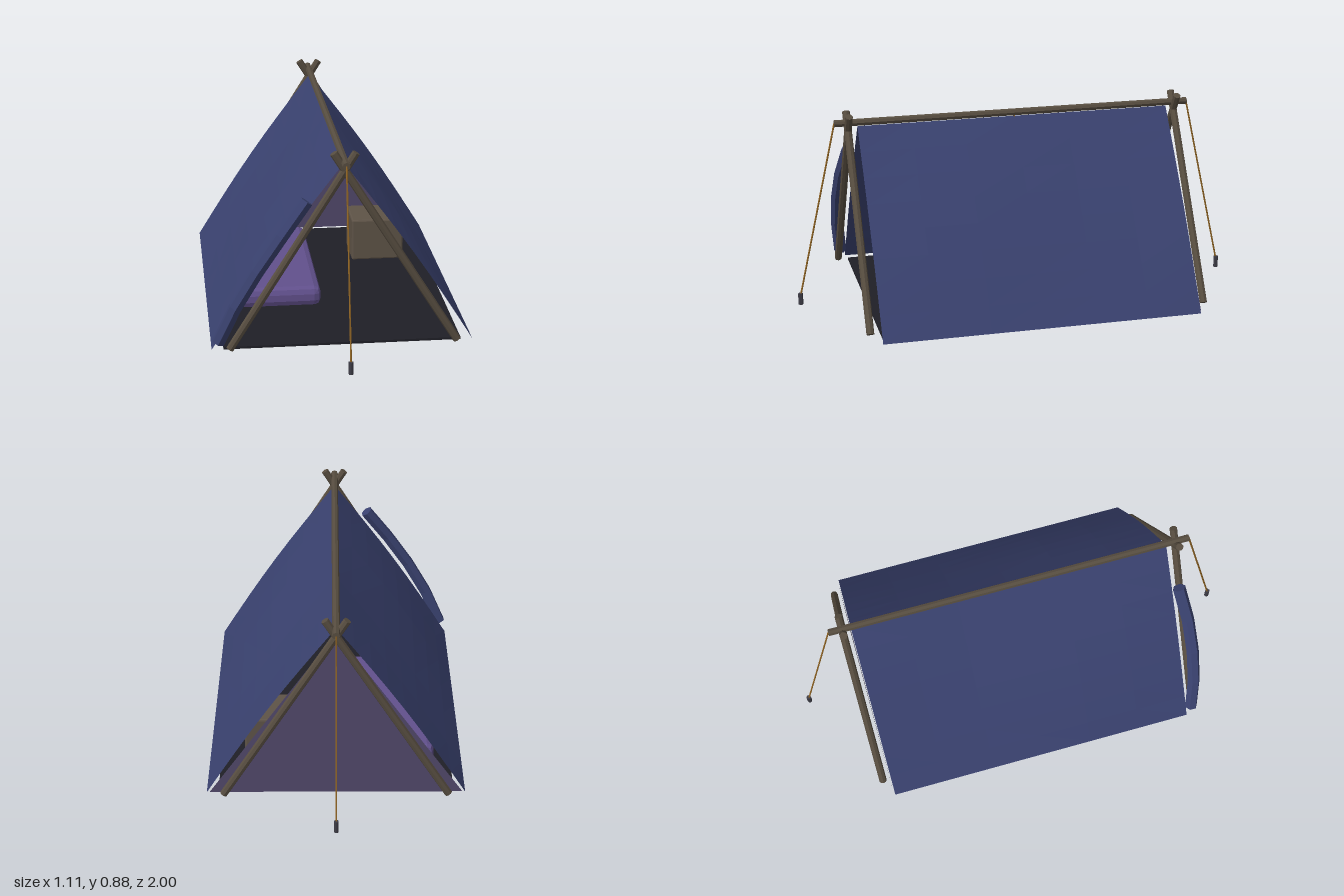
import * as THREE from 'three';
import { RoundedBoxGeometry } from 'three/addons/geometries/RoundedBoxGeometry.js';

function mat(name, color, side = THREE.FrontSide) {
  const m = new THREE.MeshStandardMaterial({ color, side, flatShading: true });
  m.name = name;
  return m;
}

const V = (x, y, z) => new THREE.Vector3(x, y, z);

export function createModel() {
  const group = new THREE.Group();
  const canvas = mat('blueCanvas', 0x3a4270, THREE.DoubleSide);
  const lining = mat('mauveCanvas', 0x51486a, THREE.DoubleSide);
  const wood = mat('wood', 0x574d40);
  const floorCloth = mat('groundCloth', 0x1f1f26);
  const bedding = mat('purpleBedding', 0x61508c);
  const crateWood = mat('crateBrown', 0x5e5347);
  const amber = mat('amberGlow', 0xc4821e);
  const rope = mat('rope', 0x8f6424);
  const metal = mat('pegMetal', 0x3d3c46);

  const add = (name, geometry, material, parent = group) => {
    const mesh = new THREE.Mesh(geometry, material);
    mesh.name = name;
    parent.add(mesh);
    return mesh;
  };

  // Straight round bar between two points
  const bar = (name, a, b, radius, sides, material) => {
    const mesh = add(name, new THREE.CylinderGeometry(radius, radius, a.distanceTo(b), sides), material);
    mesh.position.copy(a).add(b).multiplyScalar(0.5);
    mesh.quaternion.setFromUnitVectors(V(0, 1, 0), b.clone().sub(a).normalize());
    return mesh;
  };

  // Ridge pole, crossed end poles, guy ropes and pegs
  bar('ridgePole', V(0, 0.83, -0.81), V(0, 0.83, 0.81), 0.016, 8, wood);
  for (const end of [1, -1]) {
    const label = end > 0 ? 'front' : 'back';
    for (const side of [1, -1]) {
      bar(label + (side > 0 ? 'Left' : 'Right') + 'Pole',
        V(side * 0.48, 0.027, end * 0.75), V(-side * 0.046, 0.869, end * 0.75), 0.017, 8, wood);
    }
    bar(label + 'GuyRope', V(0, 0.83, end * 0.81), V(0, 0.045, end * 0.987), 0.004, 6, rope);
    bar(label + 'Peg', V(0, 0, end * 0.988), V(0, 0.053, end * 0.988), 0.011, 6, metal);
  }

  // Roof sheets, billowing slightly outward between ridge and hem
  for (const side of [1, -1]) {
    const sheet = new THREE.PlaneGeometry(1, 1, 6, 8);
    const p = sheet.attributes.position;
    for (let i = 0; i < p.count; i++) {
      const u = 0.5 - p.getY(i);
      const v = p.getX(i) + 0.5;
      const bow = Math.sin(Math.PI * u) * (0.016 + 0.008 * Math.sin(2 * Math.PI * v));
      p.setXYZ(i, side * (0.555 * u + 0.82 * bow), 0.812 - 0.804 * u + 0.57 * bow, 0.708 - 1.42 * v);
    }
    if (side < 0) sheet.index.array.reverse();
    sheet.computeVertexNormals();
    add(side > 0 ? 'leftRoof' : 'rightRoof', sheet, canvas);
  }

  // Back wall
  const triangle = new THREE.Shape([
    new THREE.Vector2(-0.542, 0.014), new THREE.Vector2(0.542, 0.014), new THREE.Vector2(0, 0.79),
  ]);
  add('backWall', new THREE.ShapeGeometry(triangle), lining).position.z = -0.717;

  // Ground cloth
  add('groundCloth', new THREE.BoxGeometry(1.01, 0.01, 1.4), floorCloth).position.y = 0.009;

  // Front door flap, rolled and tied back along the right edge
  const flap = new THREE.Group();
  flap.name = 'rolledFlap';
  group.add(flap);
  const path = new THREE.CurvePath();
  const stops = [V(-0.528, 0.052, 0.733), V(-0.43, 0.262, 0.757), V(-0.278, 0.495, 0.757), V(-0.155, 0.662, 0.733)];
  const curve = new THREE.CatmullRomCurve3(stops);
  add('flapRoll', new THREE.TubeGeometry(curve, 4, 0.029, 6), canvas, flap);
  for (const t of [0, 1]) {
    const cap = add('flapRollEnd', new THREE.CircleGeometry(0.029, 6), canvas, flap);
    cap.position.copy(curve.getPointAt(t));
    cap.quaternion.setFromUnitVectors(V(0, 0, 1), curve.getTangentAt(t).multiplyScalar(t ? 1 : -1));
  }

  // Bedroll with chamfered edges: a box hull from stacked cross-sections
  add('bedroll', new RoundedBoxGeometry(0.38, 0.09, 0.82, 1, 0.03), bedding).position.set(-0.24, 0.06, -0.1);

  // Storage crate
  add('crate', new RoundedBoxGeometry(0.245, 0.2, 0.22, 1, 0.008), crateWood).position.set(0.277, 0.115, -0.35);

  // Hanging lantern
  add('lantern', new THREE.BoxGeometry(0.052, 0.06, 0.052), amber).position.set(0, 0.64, 0);
  bar('lanternCord', V(0, 0.67, 0), V(0, 0.82, 0), 0.003, 5, rope);

  return group;
}
